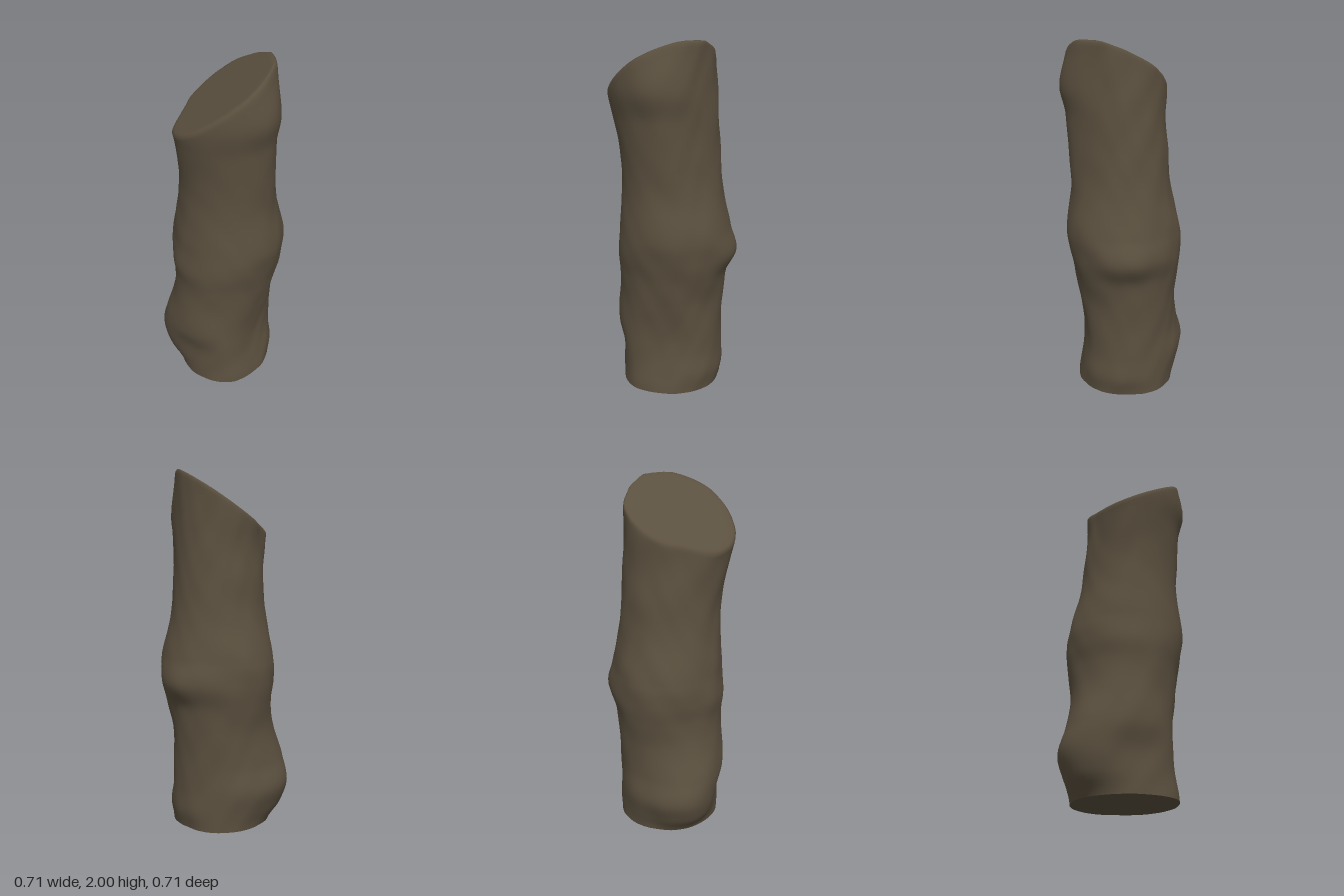
import * as THREE from 'three';

const SEGMENTS = 72, RINGS = 80;

// Trunk radius in eight directions (+x, +x+z, +z, -x+z, -x, -x-z, -z, +x-z) at each height
const HEIGHTS = [0, 0.1, 0.22, 0.35, 0.55, 0.7, 0.82, 0.95, 1.2, 1.4, 1.6, 1.75, 2];
const RADII = [
  [0.26, 0.265, 0.275, 0.31, 0.305, 0.29, 0.28, 0.285],
  [0.28, 0.275, 0.255, 0.305, 0.31, 0.36, 0.31, 0.285],
  [0.275, 0.26, 0.238, 0.30, 0.315, 0.40, 0.335, 0.285],
  [0.275, 0.26, 0.233, 0.30, 0.345, 0.375, 0.31, 0.28],
  [0.28, 0.265, 0.265, 0.30, 0.33, 0.315, 0.295, 0.285],
  [0.30, 0.295, 0.29, 0.31, 0.32, 0.305, 0.31, 0.30],
  [0.355, 0.32, 0.315, 0.325, 0.33, 0.315, 0.322, 0.32],
  [0.32, 0.325, 0.333, 0.32, 0.315, 0.31, 0.315, 0.31],
  [0.27, 0.275, 0.30, 0.305, 0.295, 0.265, 0.26, 0.265],
  [0.25, 0.255, 0.312, 0.31, 0.30, 0.25, 0.24, 0.25],
  [0.24, 0.25, 0.318, 0.335, 0.335, 0.24, 0.225, 0.237],
  [0.23, 0.245, 0.35, 0.36, 0.358, 0.237, 0.23, 0.235],
  [0.21, 0.24, 0.29, 0.35, 0.34, 0.237, 0.23, 0.235],
];

function spline(a, b, c, d, t) {
  return b + 0.5 * t * (c - a + t * (2 * a - 5 * b + 4 * c - d + t * (3 * (b - c) + d - a)));
}

function radiusInRow(row, angle) {
  const s = angle / (Math.PI / 4), k = Math.floor(s);
  const at = (n) => row[(n + 8) % 8];
  return spline(at(k - 1), at(k), at(k + 1), at(k + 2), s - k);
}

// Interpolated radius plus shallow bark lumps
function trunkRadius(angle, y) {
  const last = HEIGHTS.length - 1;
  let k = 0;
  while (k < last - 1 && y > HEIGHTS[k + 1]) k++;
  const t = THREE.MathUtils.clamp((y - HEIGHTS[k]) / (HEIGHTS[k + 1] - HEIGHTS[k]), 0, 1);
  const row = (n) => radiusInRow(RADII[THREE.MathUtils.clamp(n, 0, last)], angle);
  const base = spline(row(k - 1), row(k), row(k + 1), row(k + 2), t);
  const lumps = 0.003 * Math.sin(5 * angle + 2 * Math.sin(4 * y)) * Math.sin(13 * y + 2 * Math.sin(2 * angle))
    + 0.002 * Math.sin(9 * angle + 3 * Math.sin(3 * y)) * Math.cos(21 * y - 2 * Math.sin(3 * angle));
  return base + lumps;
}

// Slanted cut through the top
const cutHeight = (x, z) => Math.min(2, 1.85 + 0.5 * x + 0.45 * z);

function createTrunkGeometry() {
  const positions = [], indices = [];
  // Each cap ring: scale of the rim radius and drop below the cut
  const capRings = [[0.995, 0.012], [0.97, 0.003], [0.93, 0], [0.85, 0], [0.6, 0], [0.3, 0], [0, 0]];
  const total = RINGS + capRings.length;
  for (let i = 0; i < total; i++) {
    for (let j = 0; j < SEGMENTS; j++) {
      const angle = (j / SEGMENTS) * Math.PI * 2;
      const cos = Math.cos(angle), sin = Math.sin(angle);
      let top = 1.85;
      for (let n = 0; n < 6; n++) {
        const rim = trunkRadius(angle, top);
        top = cutHeight(rim * cos, rim * sin);
      }
      let r, y;
      if (i < RINGS) {
        y = (i / (RINGS - 1)) * (top - 0.03);
        r = trunkRadius(angle, y);
      } else {
        const [scale, drop] = capRings[i - RINGS];
        r = trunkRadius(angle, top) * scale;
        y = cutHeight(r * cos, r * sin) - drop;
      }
      positions.push(r * cos, y, r * sin);
    }
  }
  for (let i = 0; i < total - 1; i++) {
    for (let j = 0; j < SEGMENTS; j++) {
      const k = (j + 1) % SEGMENTS;
      const a = i * SEGMENTS + j, b = i * SEGMENTS + k;
      const c = a + SEGMENTS, d = b + SEGMENTS;
      indices.push(a, c, b);
      if (i < total - 2) indices.push(b, c, d);
    }
  }
  const geometry = new THREE.BufferGeometry();
  geometry.setAttribute('position', new THREE.Float32BufferAttribute(positions, 3));
  geometry.setIndex(indices);
  geometry.computeVertexNormals();
  return geometry;
}

// Flat underside following the bottom ring
function createBaseGeometry() {
  const points = [];
  for (let j = 0; j < SEGMENTS; j++) {
    const angle = (j / SEGMENTS) * Math.PI * 2, r = trunkRadius(angle, 0);
    points.push(new THREE.Vector2(r * Math.cos(angle), r * Math.sin(angle)));
  }
  return new THREE.ShapeGeometry(new THREE.Shape(points)).rotateX(Math.PI / 2);
}

export function createModel() {
  const group = new THREE.Group();
  group.name = 'cutLog';
  const bark = new THREE.MeshStandardMaterial({ color: 0x5b503f });
  bark.name = 'bark brown';

  const trunk = new THREE.Mesh(createTrunkGeometry(), bark);
  trunk.name = 'trunk';
  const base = new THREE.Mesh(createBaseGeometry(), bark);
  base.name = 'base';
  group.add(trunk, base);
  return group;
}
